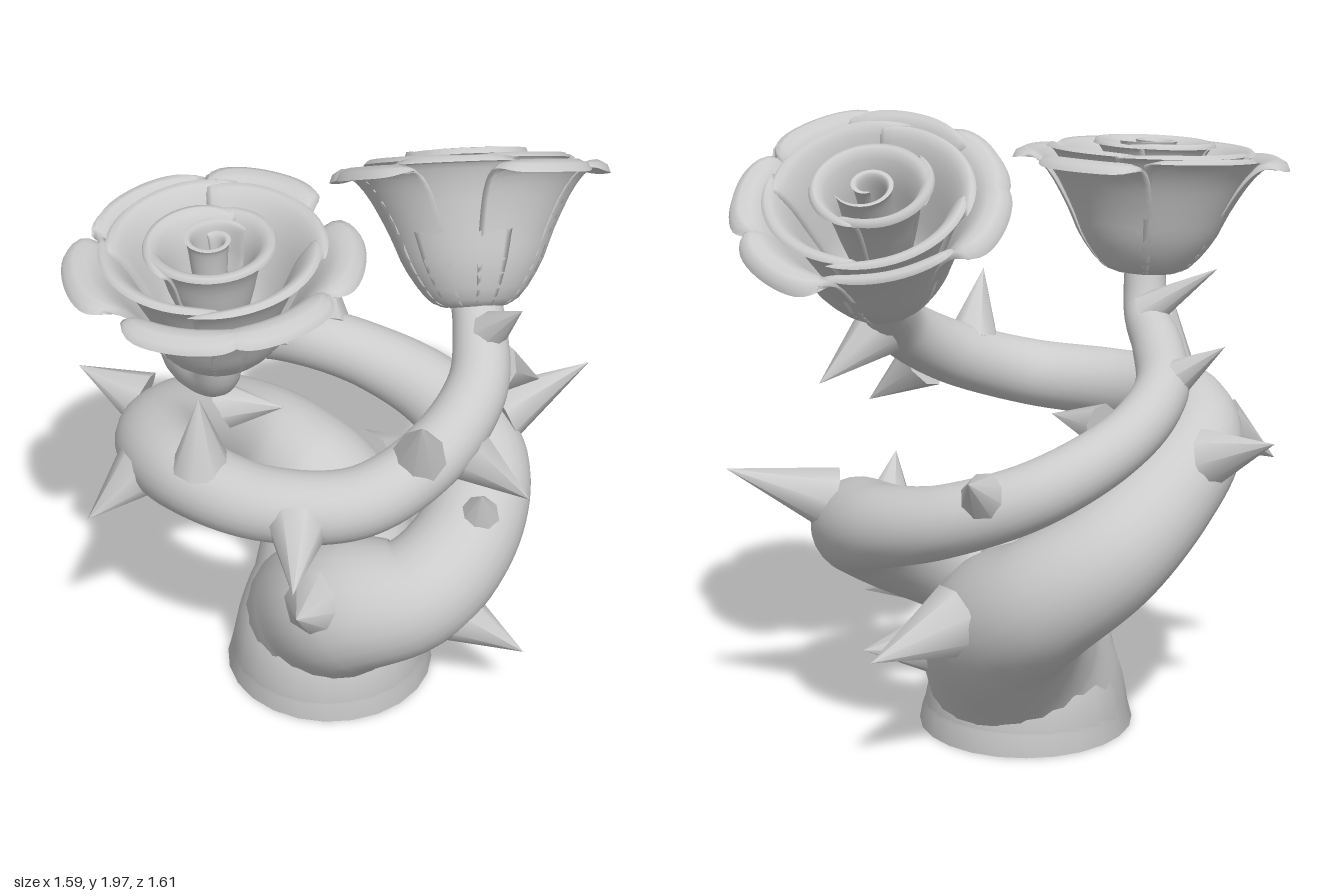
import * as THREE from 'three';

const material = new THREE.MeshStandardMaterial({ color: 0xcccccc, side: THREE.DoubleSide });
const vec = (p) => new THREE.Vector3(p[0], p[1], p[2]);

function addMesh(parent, geometry, name) {
  const mesh = new THREE.Mesh(geometry, material);
  mesh.name = name;
  parent.add(mesh);
  return mesh;
}

// Tapering vine: each point is x, y, z, radius; the open foot is kept flat on the ground
function vineGeometry(points) {
  const rings = 110, sides = 24;
  const curve = new THREE.CatmullRomCurve3(points.map(vec));
  const geo = new THREE.TubeGeometry(curve, rings, 1, sides, false);
  const pos = geo.attributes.position, nor = geo.attributes.normal;
  for (let i = 0; i <= rings; i++) {
    const centre = curve.getPointAt(i / rings);
    const t = curve.getUtoTmapping(i / rings) * (points.length - 1);
    const k = Math.min(Math.floor(t), points.length - 2);
    const radius = THREE.MathUtils.lerp(points[k][3], points[k + 1][3], t - k);
    for (let j = 0; j <= sides; j++) {
      const n = i * (sides + 1) + j;
      pos.setXYZ(n,
        centre.x + nor.getX(n) * radius,
        Math.max(0, centre.y + nor.getY(n) * radius),
        centre.z + nor.getZ(n) * radius);
    }
  }
  return geo;
}

// Thick curved petal: the profile (radius, height) is swept over an angle.
// grow changes the radius along the sweep so that petals can spiral.
function petalGeometry({ angle, span, profile, grow = 0, narrow = 0, drop = 0.1, thick = 0.025, cols = 16 }) {
  const rows = 16, loop = cols * 2;
  const curve = new THREE.SplineCurve(profile.map(([r, h]) => new THREE.Vector2(r, h)));
  const verts = [], index = [];
  for (let i = 0; i <= rows; i++) {
    const v = i / rows;
    for (let j = 0; j < loop; j++) {
      const inner = j > cols;
      const s = (inner ? 2 * cols - j : j) / cols * 2 - 1;
      const w = v * (1 - drop * s ** 4);
      const p = curve.getPoint(w), t = curve.getTangent(w);
      const off = inner ? thick * Math.sqrt(1 - s ** 4) * Math.sqrt(1 - v ** 8) : 0;
      const r = Math.max(0.004, p.x - t.y * off + grow * s * Math.min(1, v * 2));
      const a = angle + s * span * (1 - narrow * v ** 3);
      verts.push(r * Math.cos(a), p.y + t.x * off, r * Math.sin(a));
    }
  }
  for (let i = 0; i < rows; i++) {
    for (let j = 0; j < loop; j++) {
      const a = i * loop + j, b = i * loop + (j + 1) % loop;
      index.push(a, a + loop, b, b, a + loop, b + loop);
    }
  }
  const geo = new THREE.BufferGeometry();
  geo.setAttribute('position', new THREE.Float32BufferAttribute(verts, 3));
  geo.setIndex(index);
  geo.computeVertexNormals();
  return geo;
}

// flared and upright list the outer petals by their angle in degrees
function makeRose({ name, base, direction, flared, upright, width, height }) {
  const rose = new THREE.Group();
  rose.name = name;
  const flare = [[0.03, 0], [0.13, 0.02], [0.21, 0.11], [0.26, 0.21], [0.325, 0.315], [0.385, 0.365], [0.44, 0.35]];
  const tall = [[0.03, 0], [0.13, 0.02], [0.21, 0.11], [0.26, 0.21], [0.31, 0.31], [0.36, 0.375], [0.385, 0.385]];
  const cup = [[0.02, 0.02], [0.08, 0.04], [0.165, 0.12], [0.215, 0.22], [0.26, 0.32], [0.3, 0.38], [0.325, 0.395]];
  const inner = [[0.03, 0.05], [0.08, 0.13], [0.115, 0.24], [0.14, 0.34], [0.17, 0.4], [0.19, 0.41]];
  const heart = [[0.04, 0.08], [0.05, 0.2], [0.055, 0.32], [0.062, 0.4], [0.07, 0.425]];

  // Outer petals, most with lips curling outward
  const outer = (deg, profile, narrow) => addMesh(rose, petalGeometry({
    angle: THREE.MathUtils.degToRad(deg), span: 0.62, profile, narrow, drop: 0.14,
  }), 'outerPetal');
  flared.forEach((deg) => outer(deg, flare, 0.22));
  upright.forEach((deg) => outer(deg, tall, 0));

  // Overlapping petals that form the cup
  for (let i = 0; i < 4; i++) {
    addMesh(rose, petalGeometry({
      angle: 0.5 + i * Math.PI / 2, span: 0.95, profile: cup, grow: 0.012, drop: 0.07, cols: 20,
    }), 'cupPetal');
  }
  // Inner wrap and rolled heart
  addMesh(rose, petalGeometry({ angle: 0.6, span: 2.5, profile: inner, grow: 0.015, drop: 0.08, cols: 40 }), 'innerPetal');
  addMesh(rose, petalGeometry({ angle: 3.4, span: 1.5, profile: inner, grow: -0.03, drop: 0.1, cols: 30 }), 'innerPetal');
  addMesh(rose, petalGeometry({ angle: 1.5, span: 4, profile: heart, grow: 0.038, drop: 0.08, thick: 0.018, cols: 60 }), 'heartPetal');

  rose.position.copy(vec(base));
  rose.quaternion.setFromUnitVectors(new THREE.Vector3(0, 1, 0), vec(direction).normalize());
  rose.scale.set(width, height, width);
  return rose;
}

function addThorn(parent, base, tip, radius = 0.092) {
  const from = vec(base), axis = vec(tip).sub(from);
  const length = axis.length();
  const thorn = addMesh(parent, new THREE.ConeGeometry(radius, length, 8), 'thorn');
  thorn.position.copy(from).addScaledVector(axis, 0.5);
  thorn.quaternion.setFromUnitVectors(new THREE.Vector3(0, 1, 0), axis.normalize());
}

export function createModel() {
  const model = new THREE.Group();
  model.name = 'thornyRoses';

  // Two vines leaving one trunk and winding around each other
  addMesh(model, vineGeometry([
    [0.05, 0, -0.04, 0.345], [0.05, 0.12, -0.04, 0.315], [0.08, 0.27, 0.03, 0.265],
    [0.18, 0.38, 0.12, 0.23], [0.38, 0.45, 0.08, 0.185], [0.49, 0.56, -0.12, 0.17],
    [0.47, 0.68, -0.36, 0.155], [0.28, 0.76, -0.55, 0.13], [0, 0.84, -0.61, 0.11],
    [-0.26, 0.94, -0.52, 0.1], [-0.42, 1.06, -0.28, 0.09], [-0.43, 1.16, -0.05, 0.085],
    [-0.32, 1.24, 0.15, 0.08], [-0.21, 1.32, 0.28, 0.07], [-0.18, 1.47, 0.33, 0.065],
  ]), 'frontVine');
  addMesh(model, vineGeometry([
    [0.05, 0, -0.04, 0.345], [0.05, 0.12, -0.04, 0.315], [0.04, 0.28, -0.16, 0.28],
    [-0.04, 0.43, -0.31, 0.235], [-0.2, 0.55, -0.36, 0.2], [-0.37, 0.69, -0.27, 0.18],
    [-0.45, 0.83, -0.06, 0.16], [-0.44, 0.95, 0.2, 0.14], [-0.27, 1.01, 0.4, 0.125],
    [0, 1.01, 0.47, 0.115], [0.28, 1.03, 0.4, 0.11], [0.46, 1.12, 0.2, 0.105],
    [0.53, 1.24, 0, 0.095], [0.5, 1.34, -0.13, 0.085], [0.45, 1.44, -0.23, 0.075],
  ]), 'backVine');

  // Flowers at the vine ends
  model.add(makeRose({
    name: 'frontRose', base: [-0.18, 1.43, 0.33], direction: [0, 1, 0.09],
    flared: [-85, -13, 40, 84, 148], upright: [211], width: 1, height: 1,
  }));
  model.add(makeRose({
    name: 'backRose', base: [0.46, 1.38, -0.2], direction: [-0.2, 0.85, -0.5],
    flared: [-72, -20, 36, 128, 168], upright: [82, 228], width: 0.98, height: 1.15,
  }));

  // Thorns: base, tip and, where it differs, radius
  const thorns = [
    [[-0.57, 0.96, 0.01], [-0.79, 1.035, 0]],
    [[-0.44, 0.96, 0.36], [-0.57, 0.83, 0.5]],
    [[-0.2, 1.1, 0.46], [-0.2, 1.355, 0.47]],
    [[0.13, 1.0, 0.54], [0.2, 0.965, 0.8]],
    [[0.54, 1.09, 0.14], [0.74, 0.94, 0.12]],
    [[0.55, 1.25, -0.1], [0.66, 1.1, -0.29]],
    [[0.43, 1.14, 0.28], [0.47, 1.36, 0.42]],
    [[0.5, 0.8, -0.48], [0.74, 0.915, -0.69], 0.1],
    [[-0.14, 0.92, -0.6], [-0.2, 1.04, -0.81]],
    [[0.04, 0.48, -0.49], [0.17, 0.41, -0.77], 0.12],
    [[0.52, 0.37, 0.06], [0.74, 0.28, 0.07]],
    [[0.53, 0.64, -0.1], [0.56, 0.82, 0]],
    [[0.1, 0.52, -0.08], [0.16, 0.79, -0.06]],
    [[0.1, 0.47, 0.26], [0.1, 0.575, 0.47], 0.11],
    [[0.25, 0.3, -0.28], [0.42, 0.29, -0.43], 0.11],
    [[-0.35, 0.9, -0.1], [-0.14, 0.92, -0.13]],
    [[-0.35, 1.1, -0.28], [-0.15, 1.1, -0.23], 0.07],
    [[-0.42, 1.17, -0.02], [-0.61, 1.31, 0.02], 0.075],
    [[-0.23, 1.33, 0.24], [-0.45, 1.48, 0.3], 0.06],
    [[0.51, 1.35, -0.12], [0.65, 1.52, -0.03], 0.075],
  ];
  for (const [base, tip, radius] of thorns) addThorn(model, base, tip, radius);

  return model;
}
